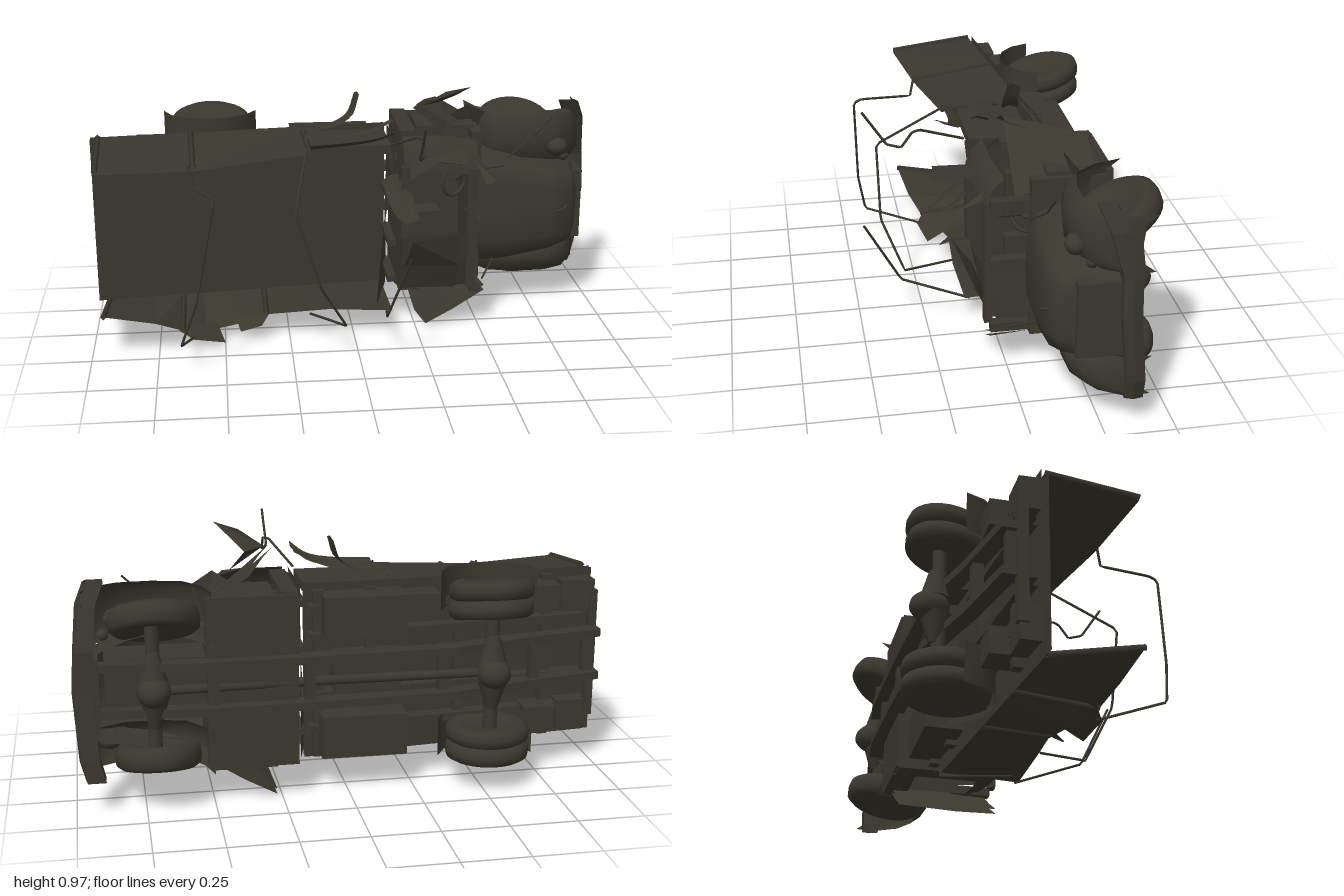
import * as THREE from 'three';

const paint = new THREE.MeshStandardMaterial({ color: 0x3a382d, side: THREE.DoubleSide });
paint.name = 'charredOlive';
const V = (p) => new THREE.Vector3(...p);

export function createModel() {
  const root = new THREE.Group();
  root.name = 'wreckedTruck';
  const add = (name, geo, pos) => {
    const m = new THREE.Mesh(geo, paint);
    m.name = name;
    if (pos) m.position.set(...pos);
    root.add(m);
    return m;
  };
  // box from its two corners; vehicle lies with its top towards +z, nose towards +x
  const box = (name, a, b) => add(name,
    new THREE.BoxGeometry(b[0] - a[0], b[1] - a[1], b[2] - a[2]),
    a.map((v, i) => (v + b[i]) / 2));
  // skin through equal-length rows of points, flat shaded or smooth
  const skin = (name, rows, smooth = false) => {
    const n = rows[0].length, idx = [];
    for (let i = 0; i < rows.length - 1; i++) for (let j = 0; j < n - 1; j++) {
      const k = i * n + j;
      idx.push(k, k + n, k + 1, k + 1, k + n, k + n + 1);
    }
    let g = new THREE.BufferGeometry();
    g.setAttribute('position', new THREE.Float32BufferAttribute(rows.flat(2), 3));
    g.setIndex(idx);
    if (!smooth) g = g.toNonIndexed();
    g.computeVertexNormals();
    return add(name, g);
  };
  // flat torn sheet, fan of corners
  const sheet = (name, pts) => {
    const tri = [];
    for (let i = 1; i < pts.length - 1; i++) tri.push(...pts[0], ...pts[i], ...pts[i + 1]);
    const g = new THREE.BufferGeometry();
    g.setAttribute('position', new THREE.Float32BufferAttribute(tri, 3));
    g.computeVertexNormals();
    return add(name, g);
  };
  // straight-segment bent rod
  const rod = (name, pts, r = 0.005, sides = 5) => {
    const path = new THREE.CurvePath();
    for (let i = 0; i < pts.length - 1; i++) path.add(new THREE.LineCurve3(V(pts[i]), V(pts[i + 1])));
    return add(name, new THREE.TubeGeometry(path, pts.length * 8, r, sides, false));
  };

  // chassis rails, kicked up at the tail
  const railShape = new THREE.Shape([[-0.99, -0.25], [-0.69, -0.31], [-0.4, -0.39], [0.1, -0.41], [0.54, -0.42], [0.9, -0.38],
    [0.9, -0.34], [0.54, -0.36], [-0.38, -0.33], [-0.69, -0.25], [-0.99, -0.19]].map((p) => new THREE.Vector2(...p)));
  const railGeo = new THREE.ExtrudeGeometry(railShape, { depth: 0.03, bevelEnabled: false });
  railGeo.rotateX(Math.PI / 2);
  for (const y of [0.39, 0.56]) add('chassisRail', railGeo, [0, y, 0]);
  for (const [x, z] of [[-0.95, -0.21], [-0.72, -0.27], [-0.35, -0.34], [0.15, -0.37], [0.5, -0.37]])
    box('crossMember', [x - 0.02, 0.36, z - 0.02], [x + 0.02, 0.56, z + 0.02]);
  rod('driveShaft', [[-0.53, 0.45, -0.36], [0.1, 0.45, -0.35], [0.71, 0.45, -0.37]], 0.018, 8);
  box('rearCrossbar', [-0.99, 0.2, -0.2], [-0.96, 0.7, -0.16]);

  // axles and wheels
  const wheel = (name, x, y, z, r, w, tilt) => {
    const p = [[0, -w * 0.3], [r * 0.5, -w * 0.3], [r * 0.58, -w * 0.45], [r * 0.85, -w * 0.5], [r * 0.97, -w * 0.34],
      [r, 0], [r * 0.97, w * 0.34], [r * 0.85, w * 0.5], [r * 0.58, w * 0.45], [r * 0.5, w * 0.3], [0, w * 0.3]];
    const m = add(name, new THREE.LatheGeometry(p.map((q) => new THREE.Vector2(...q)), 28), [x, y, z]);
    m.rotation.x = tilt;
  };
  for (const x of [-0.53, 0.71]) {
    add('axle', new THREE.CylinderGeometry(0.026, 0.026, 0.5, 10), [x, 0.45, -0.36]);
    const d = add('differential', new THREE.SphereGeometry(0.072, 14, 10), [x, 0.455, -0.393]);
    d.scale.set(0.85, 0.8, 1);
    add('axleTaper', new THREE.CylinderGeometry(0.022, 0.055, 0.11, 10), [x, 0.54, -0.375]);
    add('axleTaper', new THREE.CylinderGeometry(0.055, 0.022, 0.11, 10), [x, 0.37, -0.375]);
  }
  for (const [y, t] of [[0.14, 0.05], [0.21, 0.05], [0.685, 0.22], [0.755, 0.22]])
    wheel('rearWheel', -0.53, y, -0.33, 0.157, 0.07, t);
  wheel('frontWheelRight', 0.7, 0.195, -0.33, 0.157, 0.09, 0.22);
  wheel('frontWheelLeft', 0.7, 0.7, -0.335, 0.165, 0.09, 0.5);

  // cargo bed: sloping floor and side walls
  const floorZ = (x) => -0.19 - 0.1 * x;
  const topZ = (x) => 0.115 - 0.13 * x;
  for (const d of [0, 0.025])
    skin('bedFloor', [-0.99, -0.6, -0.2, 0.15].map((x) => [0.11, 0.3, 0.55, 0.77].map((y) => [x, y, floorZ(x) - d])));
  for (const x of [-0.8, -0.45, -0.1, 0.1])
    box('floorBearer', [x - 0.02, 0.12, floorZ(x) - 0.06], [x + 0.02, 0.76, floorZ(x) - 0.02]);
  for (const y of [0.22, 0.35, 0.575, 0.68])
    skin('bedRunner', [-0.95, -0.65, -0.25, 0.14].map((x) => [[x, y, floorZ(x) - 0.02],
      [x, y, floorZ(x) - 0.08], [x, y + 0.03, floorZ(x) - 0.08], [x, y + 0.03, floorZ(x) - 0.02]]));
  for (const y of [0.14, 0.62]) {
    box('tailBracket', [-0.98, y, -0.19], [-0.85, y + 0.12, -0.11]);
    box('tailBox', [-0.82, y + 0.02, -0.25], [-0.7, y + 0.12, -0.14]);
  }
  const leftTop = [[-0.95, 0.74], [-0.6, 0.73], [-0.17, 0.765]];
  for (const d of [0, 0.012])
    skin('leftBedWall', leftTop.map(([x, y]) => [[x - 0.02, 0.775 - d, floorZ(x)], [x, y - d, topZ(x)]]));
  for (const [x, y] of leftTop)
    rod('leftWallPost', [[x - 0.01, 0.777, floorZ(x)], [x, y, topZ(x)]], 0.011, 4);
  // right wall, leaning in at the tail and blown out over the wheel
  const rightTop = [[-0.95, 0.175, 0.235], [-0.76, 0.13, 0.21], [-0.66, 0.08, 0.17], [-0.57, 0.045, 0.1],
    [-0.45, 0.06, 0.08], [-0.34, 0.1, 0.09], [-0.1, 0.12, 0.11], [0.15, 0.1, 0.1]];
  skin('rightBedWall', rightTop.map(([x, y, z]) => [[x - 0.01, 0.11, floorZ(x)], [x, y, z]]));
  for (const i of [0, 2, 5]) {
    const [x, y, z] = rightTop[i];
    rod('rightWallPost', [[x, 0.11, floorZ(x)], [x, y, z]], 0.011, 4);
  }
  sheet('tornWallFlap', [[-0.7, 0.09, 0.14], [-0.62, 0.05, 0.19], [-0.5, 0.02, 0.16], [-0.53, 0.06, 0.06]]);
  sheet('tornWallFlap', [[-0.46, 0.08, 0.05], [-0.44, 0.04, 0.11], [-0.36, 0.07, 0.13], [-0.33, 0.1, 0.09]]);
  // headboard, leaning, with the top edge torn
  skin('headboard', [[0.1, 0.06], [0.25, 0.03], [0.42, 0.02], [0.6, 0.08], [0.77, 0.1]]
    .map(([y, z]) => [[0.16, y, -0.21], [0.16 - 0.1 * (0.77 - y), y, z]]));
  for (const y of [0.2, 0.35, 0.52, 0.7]) box('headboardRib', [0.14, y - 0.012, -0.2], [0.172, y + 0.012, 0.02]);

  // boxes slung under the bed, wheel mudguards
  box('leftToolbox', [-0.22, 0.6, -0.33], [0.09, 0.75, -0.18]);
  box('leftBracket', [-0.35, 0.64, -0.29], [-0.22, 0.74, -0.17]);
  box('rightToolbox', [-0.22, 0.14, -0.34], [0.1, 0.3, -0.2]);
  box('fuelTank', [-0.2, 0.39, -0.32], [0.05, 0.53, -0.22]);
  for (const [y0, y1] of [[0.1, 0.25], [0.67, 0.82]])
    skin('rearMudguard', [0, 1, 2, 3, 4, 5, 6].map((i) => {
      const a = 0.3 + i * 0.45;
      return [y0, y1].map((y) => [-0.53 + 0.185 * Math.cos(a), y, -0.33 + 0.17 * Math.sin(a)]);
    }), true);

  // curled strips peeled off the bed and cab
  const curl = (name, pts, w) => {
    const c = new THREE.CatmullRomCurve3(pts.map(V)).getPoints(10);
    skin(name, c.map((p, i) => {
      const k = 1 - 0.4 * i / 10;
      return [[p.x - w[0] * k, p.y - w[1] * k, p.z - w[2] * k], [p.x, p.y + 0.01, p.z + 0.01],
        [p.x + w[0] * k, p.y + w[1] * k, p.z + w[2] * k]];
    }), true);
  };
  curl('peeledStrip', [[-0.2, 0.78, -0.12], [-0.08, 0.79, -0.12], [0, 0.84, -0.1], [0.03, 0.92, -0.11]], [0.012, 0.005, 0.045]);
  curl('peeledStrip', [[-0.18, 0.78, -0.01], [-0.02, 0.79, 0], [0.07, 0.81, 0.03], [0.15, 0.85, 0.04]], [0, 0.005, 0.05]);
  curl('peeledStrip', [[-0.17, 0.77, 0.11], [-0.02, 0.78, 0.11], [0.08, 0.8, 0.13], [0.14, 0.84, 0.19]], [0, 0.015, 0.03]);
  curl('headboardStrip', [[0.14, 0.64, 0.08], [0.15, 0.58, 0.13], [0.17, 0.53, 0.2], [0.2, 0.51, 0.25]], [0.03, 0.012, 0]);
  curl('headboardStrip', [[0.18, 0.62, 0.08], [0.2, 0.55, 0.12], [0.22, 0.5, 0.21]], [0.03, 0.012, 0]);
  box('leftSill', [-0.22, 0.73, -0.15], [0.14, 0.765, 0.08]);

  // tarpaulin hoops, bent and broken
  rod('tarpHoop', [[-0.62, 0.74, 0.19], [-0.6, 0.66, 0.21], [-0.53, 0.685, 0.42], [-0.53, 0.67, 0.45],
    [-0.6, 0.3, 0.44], [-0.66, 0.125, 0.41], [-0.62, 0.05, 0.17]]);
  rod('tarpHoop', [[-0.18, 0.77, 0.13], [-0.24, 0.605, 0.39], [-0.15, 0.32, 0.39], [-0.05, 0.135, 0.31], [-0.17, 0.1, 0.1]]);
  rod('tarpHoop', [[0.21, 0.925, 0.475], [0.205, 0.795, 0.39], [0.23, 0.79, 0.34], [0.23, 0.845, 0.3],
    [0.21, 0.845, 0.27], [0.14, 0.77, 0.1]]);
  rod('tarpHoop', [[0.17, 0.455, 0.48], [0.1, 0.18, 0.34], [0.13, 0.09, 0.08]]);

  // cab shell
  box('cabFloor', [0.19, 0.14, -0.37], [0.52, 0.78, -0.345]);
  skin('cabBackWall', [[0.14, -0.02], [0.17, 0.04], [0.4, 0.09], [0.6, 0.105], [0.7, 0.1], [0.79, -0.02]]
    .map(([y, z]) => [[0.19, y, -0.36], [0.18, y, -0.1], [0.2, y, z]]), true);
  box('firewall', [0.48, 0.14, -0.37], [0.52, 0.76, -0.08]);
  box('rightCabSide', [0.19, 0.135, -0.36], [0.27, 0.155, -0.02]);
  box('leftCabSide', [0.19, 0.77, -0.36], [0.25, 0.79, -0.02]);
  box('leftCabSill', [0.27, 0.75, -0.37], [0.5, 0.775, -0.14]);
  box('rightCabSill', [0.27, 0.135, -0.37], [0.5, 0.16, -0.28]);
  skin('cabRoofRight', [[0.14, -0.04], [0.17, 0.04], [0.28, 0.07], [0.4, 0.09]]
    .map(([y, z]) => [[0.19, y, z], [0.35, y, z + 0.005], [0.48, y, z - 0.02]]));
  skin('cabRoofLeft', [[0.66, 0.105], [0.7, 0.1], [0.75, 0.075], [0.785, 0.04]]
    .map(([y, z]) => [[0.19, y, z], [0.35, y, z], [0.48, y - 0.03, z - 0.03]]), true);
  box('roofEdge', [0.18, 0.4, 0.07], [0.23, 0.68, 0.105]);
  skin('roofFlap', [[[0.2, 0.17, 0.04], [0.4, 0.17, 0.05]], [[0.2, 0.28, 0.08], [0.41, 0.28, 0.1]],
    [[0.22, 0.4, 0.16], [0.4, 0.41, 0.13]]]);
  sheet('bentRoofCorner', [[0.22, 0.7, 0.08], [0.2, 0.66, 0.2], [0.3, 0.74, 0.24], [0.4, 0.73, 0.25], [0.45, 0.75, 0.06]]);
  sheet('bentPillar', [[0.46, 0.7, 0.08], [0.49, 0.68, 0.09], [0.52, 0.65, 0.2], [0.49, 0.63, 0.2]]);
  // windscreen frame with its broken panel
  box('windscreenTop', [0.44, 0.18, 0.05], [0.48, 0.66, 0.08]);
  for (const y of [0.15, 0.41, 0.64]) box('windscreenPost', [0.46, y, -0.1], [0.5, y + 0.035, 0.06]);
  sheet('windscreenPanel', [[0.5, 0.2, -0.08], [0.5, 0.43, -0.08], [0.47, 0.43, 0.07], [0.47, 0.2, 0.06]]);
  // cab interior
  for (const y of [0.22, 0.48]) {
    box('seat', [0.23, y, -0.3], [0.38, y + 0.18, -0.2]);
    box('seatBack', [0.2, y, -0.26], [0.24, y + 0.18, -0.04]);
  }
  const sw = add('steeringWheel', new THREE.TorusGeometry(0.06, 0.007, 6, 20), [0.41, 0.57, -0.07]);
  sw.rotation.y = 0.6;
  rod('steeringColumn', [[0.41, 0.57, -0.07], [0.49, 0.57, -0.2]], 0.008);
  // doors swung open
  for (const d of [0, 0.02])
    skin('rightDoor', [[0.5, 0.15, 0], [0.38, 0.075, 0], [0.27, 0.005, 0.01]]
      .map(([x, y, e]) => [[x, y + d + e, -0.34], [x, y + d, -0.12], [x + 0.02, y + d + e, 0.045]]));
  for (const d of [0, 0.012])
    skin('leftDoor', [[[0.49, 0.69], [0.49, 0.72], [0.47, 0.79]], [[0.37, 0.79], [0.39, 0.79], [0.42, 0.82]],
      [[0.25, 0.89], [0.3, 0.88], [0.37, 0.85]]]
      .map((row) => row.map(([x, y], i) => [x - d, y - d, [-0.03, -0.15, -0.31][i]])));
  sheet('bentDoorTop', [[0.27, 0.885, -0.03], [0.4, 0.925, -0.02], [0.45, 0.97, 0.035], [0.36, 0.945, 0.0]]);
  sheet('bentDoorTop', [[0.27, 0.885, -0.03], [0.4, 0.925, -0.02], [0.35, 0.88, -0.1], [0.4, 0.8, -0.04]]);

  // bonnet: arched sections narrowing to the nose, engine beneath
  const arch = [[0, 0], [0.02, 0.55], [0.09, 0.88], [0.25, 0.98], [0.5, 1], [0.75, 0.98], [0.91, 0.88], [0.98, 0.55], [1, 0]];
  const section = ([x, y0, y1, z0, z1]) => arch.map(([a, h]) => [x, y0 + (y1 - y0) * a, z0 + (z1 - z0) * h]);
  skin('bonnet', [[0.5, 0.18, 0.68, -0.35, -0.065], [0.62, 0.19, 0.66, -0.3, -0.06], [0.8, 0.23, 0.62, -0.3, -0.06],
    [0.89, 0.26, 0.6, -0.36, -0.08], [0.93, 0.28, 0.58, -0.36, -0.16], [0.95, 0.28, 0.58, -0.36, -0.34]].map(section), true);
  box('grille', [0.9, 0.29, -0.36], [0.945, 0.57, -0.15]);
  box('engine', [0.52, 0.34, -0.34], [0.88, 0.56, -0.16]);
  // front wings arching over the wheels
  for (const [y0, y1] of [[0.13, 0.28], [0.6, 0.81]])
    skin('frontWing', [[0.5, -0.36], [0.53, -0.26], [0.59, -0.18], [0.7, -0.155], [0.82, -0.16], [0.9, -0.2], [0.95, -0.28], [0.95, -0.37]]
      .map(([x, z]) => [[x, y0, z - 0.04], [x, y0 + 0.03, z], [x, (y0 + y1) / 2, z + 0.01], [x, y1 - 0.03, z], [x, y1, z - 0.04]]), true);
  sheet('bentWingTail', [[0.52, 0.66, -0.26], [0.4, 0.79, -0.22], [0.48, 0.84, -0.2], [0.56, 0.8, -0.24]]);
  // bumper, bowed and tipped at the left end
  const bumper = [[0.12, -0.37, 0.95], [0.2, -0.37, 0.97], [0.45, -0.345, 0.985], [0.6, -0.345, 0.975], [0.76, -0.3, 0.96], [0.83, -0.27, 0.93]];
  skin('bumper', bumper.map(([y, z, x]) => [[x - 0.06, y, z - 0.015], [x + 0.005, y, z - 0.015], [x + 0.012, y, z + 0.02],
    [x, y, z + 0.05], [x - 0.06, y, z + 0.05], [x - 0.06, y, z - 0.015]]));
  // lamps, mirrors and handles
  for (const [x, y, z] of [[0.87, 0.225, -0.22], [0.84, 0.67, -0.16]]) {
    const lamp = add('headlamp', new THREE.SphereGeometry(0.036, 14, 10), [x, y, z]);
    lamp.scale.x = 1.2;
  }
  add('sideLamp', new THREE.SphereGeometry(0.022, 10, 8), [0.88, 0.62, -0.21]);
  rod('mirrorArm', [[0.62, 0.66, -0.06], [0.72, 0.73, -0.09], [0.8, 0.81, -0.1]], 0.004);
  rod('mirrorArm', [[0.58, 0.23, -0.09], [0.52, 0.18, 0]], 0.004);
  rod('wiper', [[0.5, 0.62, -0.05], [0.58, 0.66, 0.05]], 0.004);
  rod('towHook', [[0.82, 0.43, -0.06], [0.85, 0.44, -0.05], [0.87, 0.45, -0.07]], 0.006);
  return root;
}
